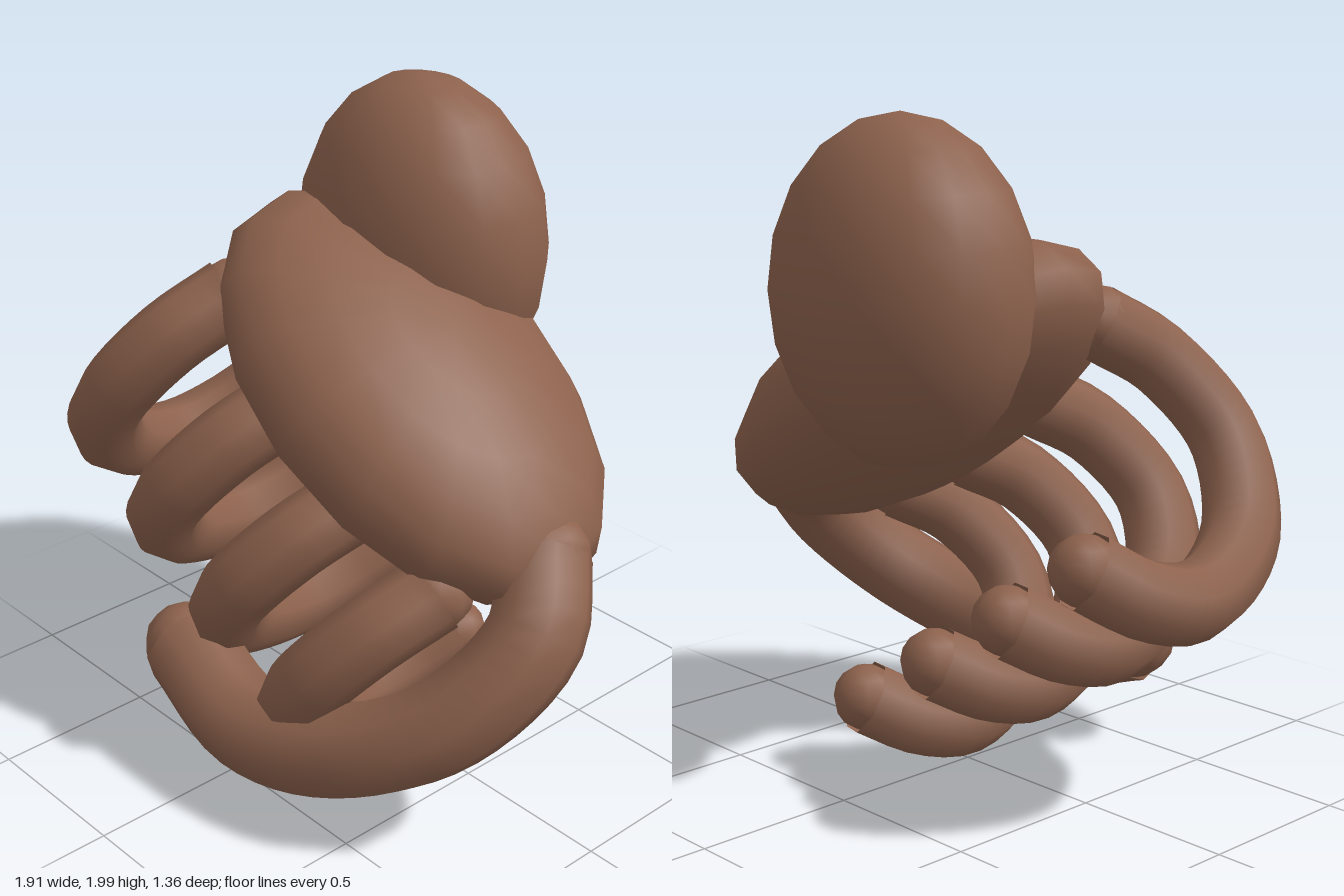
import * as THREE from 'three';

const skin = new THREE.MeshStandardMaterial({ color: 0x8d624d, side: THREE.DoubleSide });
skin.name = 'skin';

// Stretched sphere
function ellipsoid(name, center, radii, tilt = 0, w = 16, h = 10) {
  const mesh = new THREE.Mesh(new THREE.SphereGeometry(1, w, h), skin);
  mesh.name = name;
  mesh.position.set(...center);
  mesh.scale.set(...radii);
  mesh.rotation.z = tilt;
  return mesh;
}

// Curved digit: a tube through the points with a ball at its tip and a ball at its root
function digit(name, points, radius, tipRadius) {
  const group = new THREE.Group();
  group.name = name;
  const curve = new THREE.CatmullRomCurve3(points);
  const tube = new THREE.Mesh(new THREE.TubeGeometry(curve, 28, radius, 8), skin);
  tube.name = name + 'Tube';
  const root = points[0], tip = points[points.length - 1];
  group.add(
    tube,
    ellipsoid(name + 'Tip', tip.toArray(), [tipRadius, tipRadius, tipRadius], 0, 10, 8),
    ellipsoid(name + 'Root', root.toArray(), [radius * 0.95, radius * 0.95, radius * 0.95], 0, 10, 8)
  );
  return group;
}

export function createModel() {
  const hand = new THREE.Group();
  hand.name = 'hand';

  // Wrist and palm
  hand.add(ellipsoid('wrist', [-0.1, 1.5, -0.35], [0.43, 0.5, 0.33]));
  hand.add(ellipsoid('palm', [0.165, 1.17, -0.06], [0.746, 0.3, 0.49], THREE.MathUtils.degToRad(-33)));

  // Four curled fingers: shared curl as [fraction from knuckle to bend, z]
  const curl = [[0, 0.2], [0.17, 0.38], [0.48, 0.487], [0.79, 0.385], [0.95, 0.2], [1, 0.03], [0.94, -0.14], [0.81, -0.285]];
  const knuckles = [[-0.335, 1.385], [-0.075, 1.125], [0.215, 0.915], [0.545, 0.755]];
  knuckles.forEach(([kx, ky], i) => {
    const bx = -0.845 + 0.3 * i, by = 0.685 - 0.19 * i;
    const points = curl.map(([s, z]) => new THREE.Vector3(kx + (bx - kx) * s, ky + (by - ky) * s, z));
    hand.add(digit('finger' + (i + 1), points, 0.115, 0.1));
  });

  // Thumb crossing in front of the fingers
  const thumbPath = [
    [0.71, 0.85, -0.06], [0.815, 0.68, 0.08], [0.7, 0.44, 0.31],
    [0.42, 0.285, 0.475], [0.1, 0.243, 0.535], [-0.23, 0.345, 0.5]
  ].map(p => new THREE.Vector3(...p));
  hand.add(digit('thumb', thumbPath, 0.143, 0.13));

  return hand;
}
